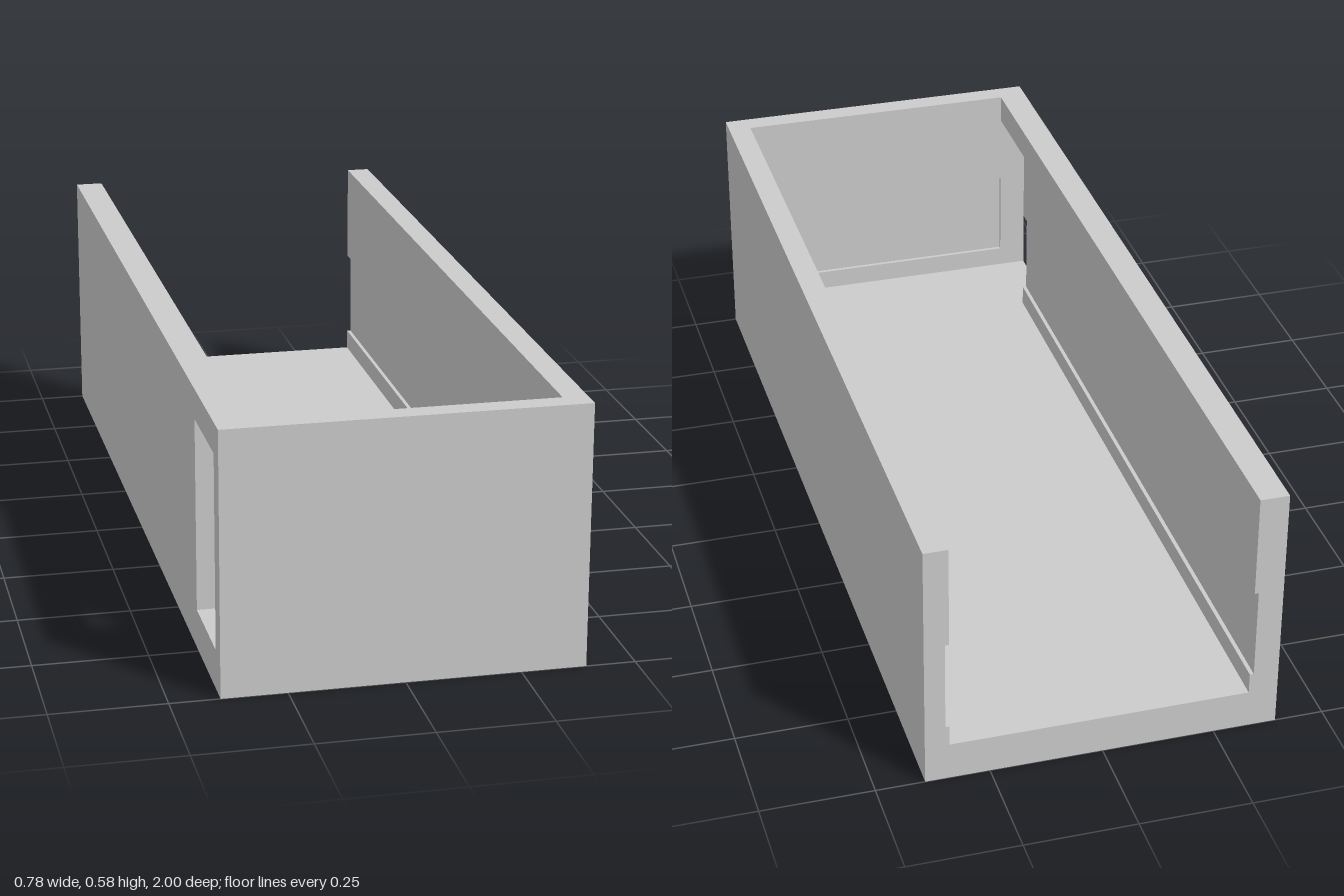
import * as THREE from 'three';

const W = 0.392, H = 0.585;                 // half width, height
const LEFT = 0.338, RIGHT = -0.327, FRONT = 0.95; // inner wall faces
const FLOOR = 0.088, WINDOW_BACK = 0.733, WINDOW_TOP = 0.518;
const GROOVE_BOTTOM = 0.136, GROOVE_TOP = 0.348, GROOVE_DEPTH = 0.009;

export function createModel() {
  const model = new THREE.Group();
  model.name = 'openEndedTray';
  const material = new THREE.MeshStandardMaterial({ color: 0xcccccc, flatShading: true });

  // Extrudes a plan outline of [x, z] points from height y0 to y1
  const slab = (name, points, y0, y1) => {
    const shape = new THREE.Shape(points.map(([x, z]) => new THREE.Vector2(x, -z)));
    const geometry = new THREE.ExtrudeGeometry(shape, { depth: y1 - y0, bevelEnabled: false });
    geometry.rotateX(-Math.PI / 2).translate(0, y0, 0);
    const mesh = new THREE.Mesh(geometry, material);
    mesh.name = name;
    model.add(mesh);
  };

  slab('floor', [[-W, -1], [-W, 1], [W, 1], [W, -1]], 0, FLOOR);

  // Wall courses: bottom, top, groove depth, whether the window cuts through
  const courses = [
    ['lowerWall', FLOOR, GROOVE_BOTTOM, 0, true],
    ['groovedWall', GROOVE_BOTTOM, GROOVE_TOP, GROOVE_DEPTH, true],
    ['upperWall', GROOVE_TOP, WINDOW_TOP, 0, true],
    ['rimWall', WINDOW_TOP, H, 0, false],
  ];
  for (const [name, y0, y1, d, hasWindow] of courses) {
    // Front wall joined to the left wall
    slab(name + 'FrontAndLeft', [
      [W, -1], [W, 1], [-W, 1], [-W, FRONT], [RIGHT, FRONT],
      ...(d ? [[RIGHT, FRONT + d]] : []),
      [LEFT + d, FRONT + d], [LEFT + d, -1],
    ], y0, y1);
    // Right wall, stopping at the window where there is one
    const end = hasWindow ? WINDOW_BACK : FRONT;
    slab(name + 'Right', [[-W, -1], [-W, end], [RIGHT - d, end], [RIGHT - d, -1]], y0, y1);
  }
  return model;
}
